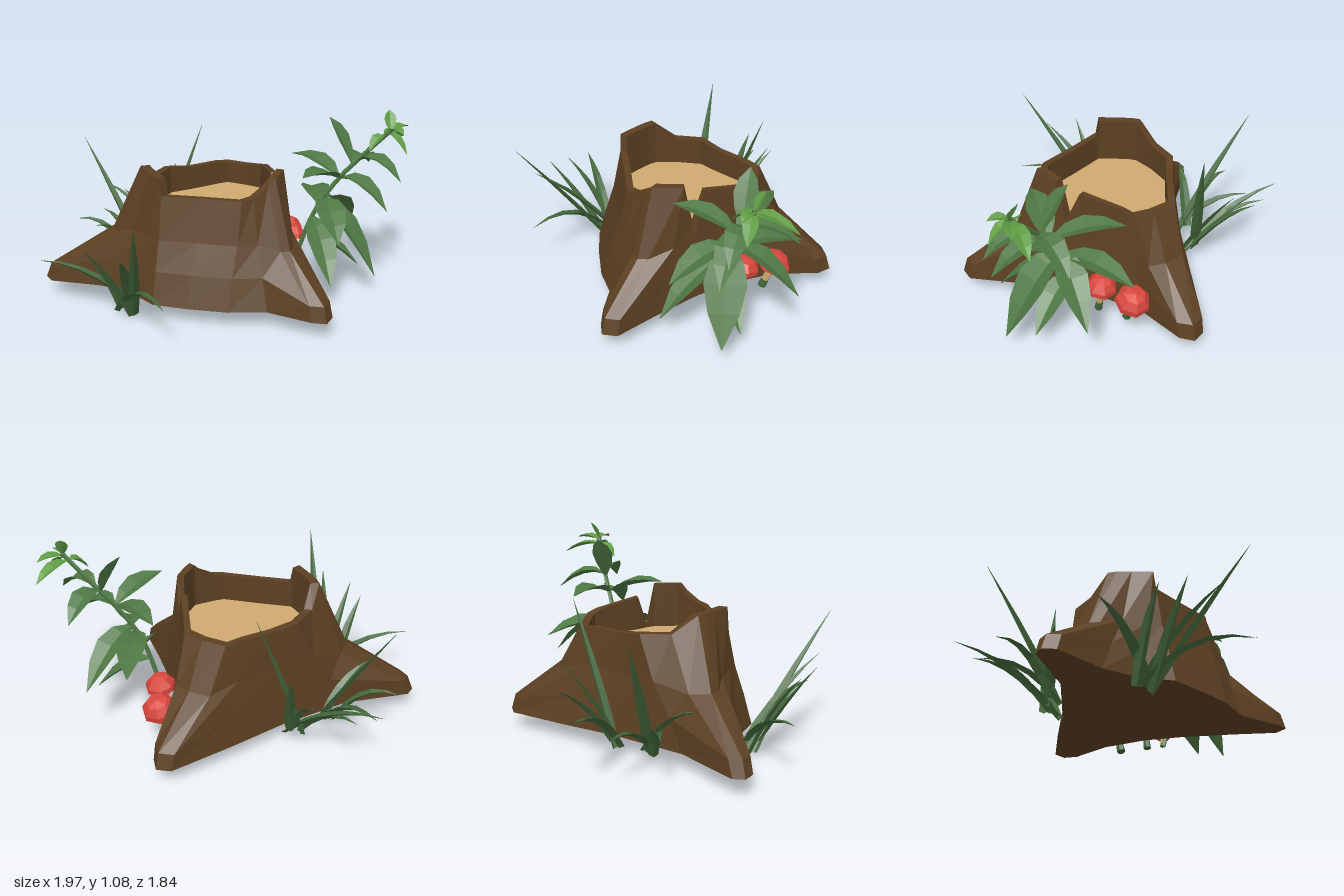
import * as THREE from 'three';

const V = (x, y, z) => new THREE.Vector3(x, y, z);
const mat = (name, color) => new THREE.MeshStandardMaterial({ name, color, side: THREE.DoubleSide });

// Flat-shaded surface through a list of closed rings of equal length
function loft(rings) {
  const pos = [];
  const tri = (...p) => p.forEach(v => pos.push(v.x, v.y, v.z));
  for (let r = 0; r < rings.length - 1; r++) {
    const a = rings[r], b = rings[r + 1], n = a.length;
    for (let i = 0; i < n; i++) {
      const j = (i + 1) % n;
      tri(a[i], a[j], b[j]);
      tri(a[i], b[j], b[i]);
    }
  }
  const g = new THREE.BufferGeometry();
  g.setAttribute('position', new THREE.Float32BufferAttribute(pos, 3));
  g.computeVertexNormals();
  return g;
}

// Arched, tapering leaf or blade with a folded diamond section
function leafGeometry(base, tip, arch, width, profile, fold) {
  const mid = base.clone().lerp(tip, 0.45);
  mid.y += arch;
  const curve = new THREE.QuadraticBezierCurve3(base, mid, tip);
  const heading = V(tip.x - base.x, 0, tip.z - base.z).normalize();
  const side = heading.clone().cross(V(0, 1, 0)).normalize();
  const rings = profile.map((k, i) => {
    const t = i / (profile.length - 1);
    const c = curve.getPoint(t);
    const up = side.clone().cross(curve.getTangent(t)).normalize();
    const w = width * k / 2;
    const at = (s, u) => c.clone().addScaledVector(side, s * w).addScaledVector(up, u * w);
    return [at(-1, fold), at(0, -0.12), at(1, fold), at(0, -0.28)];
  });
  return loft(rings);
}

export function createModel() {
  const model = new THREE.Group();
  model.name = 'treeStump';
  const bark = mat('bark brown', 0x5c4022);
  const wood = mat('cut wood tan', 0xcfaa70);
  const grass = mat('grass green', 0x44683c);
  const leafGreen = mat('leaf green', 0x4f7844);
  const young = mat('young leaf green', 0x5f9c43);
  const red = mat('mushroom red', 0xd8463c);

  const add = (parent, name, geometry, material) => {
    const m = new THREE.Mesh(geometry, material);
    m.name = name;
    parent.add(m);
    return m;
  };
  const group = name => {
    const g = new THREE.Group();
    g.name = name;
    model.add(g);
    return g;
  };

  // Stump columns: base x, base z, rim x, rim z, rim height
  const columns = [
    [-.94, .345, -.40, .14, .82], [-.88, .39, -.37, .18, .82], [-.58, .345, -.31, .235, .82],
    [-.38, .37, -.22, .31, .82], [-.2, .46, -.20, .312, .72], [0, .44, .02, .27, .72],
    [.22, .4, .24, .235, .72], [.42, .32, .29, .19, .73], [.68, .35, .35, .12, .78],
    [.76, .335, .38, .085, .82], [.77, .25, .38, .04, .82], [.6, .07, .375, -.08, .82],
    [.4, -.16, .35, -.13, .58], [.27, -.35, .30, -.19, .76], [.17, -.6, .17, -.42, .72],
    [.15, -.86, .14, -.47, .70], [.10, -.93, .03, -.49, .69], [.02, -.91, -.11, -.50, .69],
    [-.18, -.6, -.17, -.43, .70], [-.36, -.3, -.29, -.28, .70], [-.62, .05, -.39, -.17, .72],
    [-.93, .28, -.41, 0, .72],
  ];
  const FLOOR = 0.56;
  const ring = f => columns.map(([bx, bz, rx, rz, ry]) => f(bx, bz, rx, rz, ry));
  const mix = (a, b, t) => a + (b - a) * t;
  const flare = (tRoot, yRoot, tWall, yWall) => ring((bx, bz, rx, rz) => {
    const root = Math.hypot(bx, bz) > 0.7;
    const t = root ? tRoot : tWall;
    return V(mix(bx, rx, t), root ? yRoot : yWall, mix(bz, rz, t));
  });
  const inner = y => ring((bx, bz, rx, rz, ry) => V(rx * 0.89, y ?? ry, -.08 + (rz + .08) * 0.89));
  const centre = y => columns.map(() => V(0, y, -.04));

  const stump = group('stump');
  add(stump, 'barkAndRoots', loft([
    centre(.13),
    ring((bx, bz) => V(bx, .13, bz)),
    flare(.06, .22, .32, .31),
    flare(.7, .44, .68, .48),
    ring((bx, bz, rx, rz, ry) => V(rx, ry, rz)),
    inner(),
    inner(FLOOR),
  ]), bark);
  add(stump, 'cutWood', loft([inner(FLOOR), centre(FLOOR)]), wood);

  // Grass tufts: root point, then blade tips with arch height
  const tufts = [
    [[-.38, .03, .43], [[-.08, .77, .91, .02], [.03, .31, .82, .2], [-.2, .55, .83, .08],
      [-.4, .53, .78, .05], [-.5, .5, .68, .1], [-.82, .36, .6, .14]]],
    [[-.43, .09, -.3], [[-.97, .45, -.47, .14], [-.84, .4, -.5, .14], [-.65, .5, -.6, .1],
      [-.5, .6, -.57, .05], [-.29, .89, -.52, .02]]],
    [[-.56, .09, -.12], [[-.95, .82, -.22, .02], [-.95, .34, -.07, .18], [-.72, .4, .12, .12],
      [-.9, .32, -.32, .15]]],
  ];
  const bladeProfile = [.8, 1, .95, .75, .4, .02];
  tufts.forEach(([root, tips]) => {
    const tuft = group('grassTuft');
    tips.forEach(([x, y, z, arch], i) => {
      const a = i * 2.4;
      const base = V(root[0] + Math.cos(a) * .05, root[1] + (i % 3) * .02, root[2] + Math.sin(a) * .03);
      add(tuft, 'grassBlade', leafGeometry(base, V(x, y, z), arch, .062, bladeProfile, .45), grass);
    });
  });

  // Leafy plant with one leaning stem
  const plant = group('leafyPlant');
  const stem = new THREE.CatmullRomCurve3([V(.37, .1, -.29), V(.5, .5, -.31), V(.62, .7, -.36),
    V(.75, .85, -.4), V(.9, 1.01, -.43)]);
  add(plant, 'stem', new THREE.TubeGeometry(stem, 12, .014, 5).toNonIndexed(), leafGreen)
    .geometry.computeVertexNormals();

  // Leaves: position along the stem, tip, arch, width
  const leafProfile = [.1, .75, 1, .72, .02];
  const leaves = [
    [.62, .28, .76, -.56, .1, .15], [.62, .5, .8, -.03, .08, .15], [.72, .54, 1.05, -.42, .06, .13],
    [.74, .73, .72, -.68, .12, .14], [.76, .99, .74, -.32, .14, .13], [.62, .93, .57, -.28, .14, .15],
    [.46, .88, .15, -.3, .14, .23], [.36, .7, .2, .03, .12, .17], [.48, .72, .44, -.02, .1, .18],
    [.48, .64, .33, -.7, .14, .17], [.26, .76, .16, -.4, .1, .15], [.44, .36, .5, -.73, .1, .17],
  ];
  leaves.forEach(([t, x, y, z, arch, w]) =>
    add(plant, 'leaf', leafGeometry(stem.getPointAt(t), V(x, y, z), arch, w, leafProfile, .2), leafGreen));
  const shoots = [
    [.99, .87, 1.11, -.48, .02, .07], [.98, .97, 1.0, -.57, .04, .08], [.97, 1.0, .88, -.4, .06, .08],
    [.95, .8, .9, -.33, .06, .08], [.95, .93, .91, -.65, .06, .09], [.99, .98, 1.0, -.37, .04, .07],
  ];
  shoots.forEach(([t, x, y, z, arch, w]) =>
    add(plant, 'youngLeaf', leafGeometry(stem.getPointAt(t), V(x, y, z), arch, w, leafProfile, .25), young));

  // Mushrooms: foot x, foot z, cap x, cap height, cap z, cap radius
  const capProfile = [[0, .02], [.55, -.1], [1, -.12], [.95, .2], [.6, .62], [0, .75]]
    .map(([r, y]) => new THREE.Vector2(r, y));
  const mushrooms = [
    [.24, -.53, .25, .26, -.59, .1], [.32, -.38, .33, .29, -.42, .088], [.37, -.3, .38, .17, -.31, .052],
  ];
  mushrooms.forEach(([fx, fz, cx, cy, cz, r]) => {
    const g = group('mushroom');
    const foot = V(fx, .1, fz), top = V(cx, cy, cz);
    const tilt = new THREE.Quaternion().setFromUnitVectors(V(0, 1, 0), top.clone().sub(foot).normalize());
    const stalk = (name, a, b, radius, material) => {
      const geo = new THREE.CylinderGeometry(radius * .85, radius, a.distanceTo(b), 6).toNonIndexed();
      geo.computeVertexNormals();
      const m = add(g, name, geo, material);
      m.position.copy(a).lerp(b, .5);
      m.quaternion.copy(tilt);
    };
    const collar = foot.clone().lerp(top, .3);
    stalk('mushroomFoot', foot, collar, r * .26, grass);
    stalk('mushroomStalk', collar, top, r * .22, wood);
    const capGeo = new THREE.LatheGeometry(capProfile, 7).toNonIndexed();
    capGeo.computeVertexNormals();
    const cap = add(g, 'mushroomCap', capGeo, red);
    cap.position.copy(top);
    cap.quaternion.copy(tilt);
    cap.scale.setScalar(r);
  });

  return model;
}
